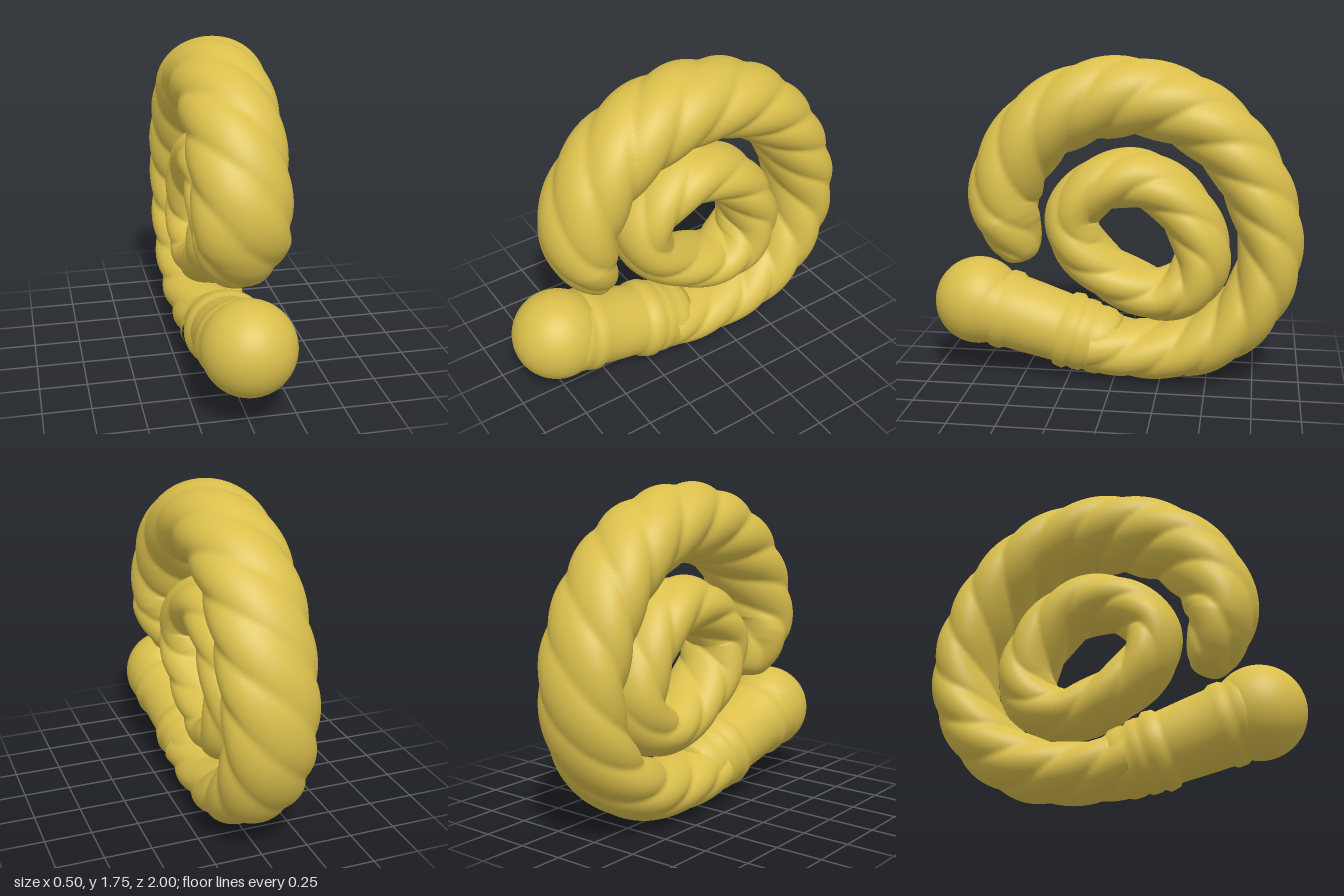
import * as THREE from 'three';
import { mergeVertices } from 'three/addons/utils/BufferGeometryUtils.js';

// Sweeps a twisted, lobed rope along a path in the y-z plane; each point is [z, y, radius]
function twistedRope(points, { closed = false, steps = 260, sides = 80, lobes = 4, grooves = 14, flat = 1.4, maxWidth = 0.245 }) {
  const path = new THREE.CatmullRomCurve3(points.map(([z, y, r]) => new THREE.Vector3(r, y, z)), closed);
  path.arcLengthDivisions = 800;
  const pos = [], index = [], p = new THREE.Vector3(), t = new THREE.Vector3();
  for (let i = 0; i <= steps; i++) {
    const u = i / steps;
    path.getPointAt(u, p);
    path.getTangentAt(u, t);
    const len = Math.hypot(t.y, t.z) || 1;
    const ny = t.z / len, nz = -t.y / len; // outward direction in the plane
    const r = Math.max(p.x, 0), w = Math.min(r * flat, maxWidth);
    for (let j = 0; j <= sides; j++) {
      const a = (j % sides) / sides * Math.PI * 2;
      const wave = Math.abs(Math.cos((lobes * a - grooves * Math.PI * 2 * u) / 2));
      const m = 0.91 + 0.11 * Math.pow(wave, 0.7);
      const c = Math.cos(a) * r * m;
      pos.push(Math.sin(a) * w * m, p.y + ny * c, p.z + nz * c);
      if (i < steps && j < sides) {
        const k = i * (sides + 1) + j, n = k + sides + 1;
        index.push(k, n, k + 1, n, n + 1, k + 1);
      }
    }
  }
  let g = new THREE.BufferGeometry();
  g.setAttribute('position', new THREE.Float32BufferAttribute(pos, 3));
  g.setIndex(index);
  g = mergeVertices(g, 1e-5);
  g.computeVertexNormals();
  return g;
}

export function createModel() {
  const model = new THREE.Group();
  const gold = new THREE.MeshStandardMaterial({ color: 0xdabf4c });
  gold.name = 'gold';
  const add = (name, geometry) => {
    const mesh = new THREE.Mesh(geometry, gold);
    mesh.name = name;
    model.add(mesh);
    return mesh;
  };

  // Large open coil, from the handle round the back to the hanging tip
  add('outerCoil', twistedRope([
    [0.12, 0.19, 0.155], [-0.05, 0.165, 0.155], [-0.25, 0.165, 0.155], [-0.45, 0.21, 0.165],
    [-0.66, 0.35, 0.17], [-0.79, 0.56, 0.17], [-0.825, 0.78, 0.17], [-0.765, 1.03, 0.18],
    [-0.63, 1.27, 0.185], [-0.43, 1.445, 0.195], [-0.2, 1.53, 0.20], [0.0, 1.54, 0.21],
    [0.22, 1.485, 0.21], [0.41, 1.365, 0.205], [0.54, 1.19, 0.20], [0.60, 1.0, 0.19],
    [0.57, 0.84, 0.162], [0.525, 0.73, 0.125], [0.50, 0.665, 0.085], [0.49, 0.635, 0],
  ], { grooves: 15 }));

  // Closed oval ring inside the coil
  add('innerRing', twistedRope([
    [-0.25, 0.478, 0.14], [-0.40, 0.54, 0.15], [-0.47, 0.69, 0.152], [-0.41, 0.89, 0.152],
    [-0.27, 1.05, 0.152], [-0.10, 1.115, 0.155], [0.10, 1.06, 0.15], [0.23, 0.91, 0.145],
    [0.20, 0.75, 0.145], [0.08, 0.62, 0.14], [-0.08, 0.525, 0.14],
  ], { closed: true, steps: 180, grooves: 8, maxWidth: 0.205 }));

  // Tapered handle with wrapped bands: [distance from ball, radius]
  const profile = [
    [0, 0.20], [0.05, 0.218], [0.10, 0.215], [0.12, 0.205], [0.14, 0.217], [0.19, 0.218],
    [0.215, 0.202], [0.32, 0.198], [0.46, 0.19], [0.485, 0.188], [0.50, 0.205], [0.55, 0.212],
    [0.575, 0.192], [0.60, 0.198], [0.64, 0.196], [0.66, 0.182], [0.69, 0.188], [0.74, 0.184],
    [0.76, 0.17], [0.785, 0.165], [0.80, 0.12],
  ].map(([d, r]) => new THREE.Vector2(r, d)).reverse();
  const ball = new THREE.Vector3(0, 0.4, 0.76);
  const handleGeometry = new THREE.LatheGeometry(profile.reverse(), 64);
  handleGeometry.scale(1.08, 1, 1);
  const handle = add('handle', handleGeometry);
  handle.position.copy(ball);
  handle.quaternion.setFromUnitVectors(new THREE.Vector3(0, 1, 0), new THREE.Vector3(0, -0.225, -0.75).normalize());
  handle.rotation.set(-Math.PI / 2 - Math.atan2(0.225, 0.75), 0, 0);

  // Round knob at the front end
  const knob = add('knob', new THREE.SphereGeometry(0.24, 48, 32));
  knob.position.copy(ball);

  return model;
}
